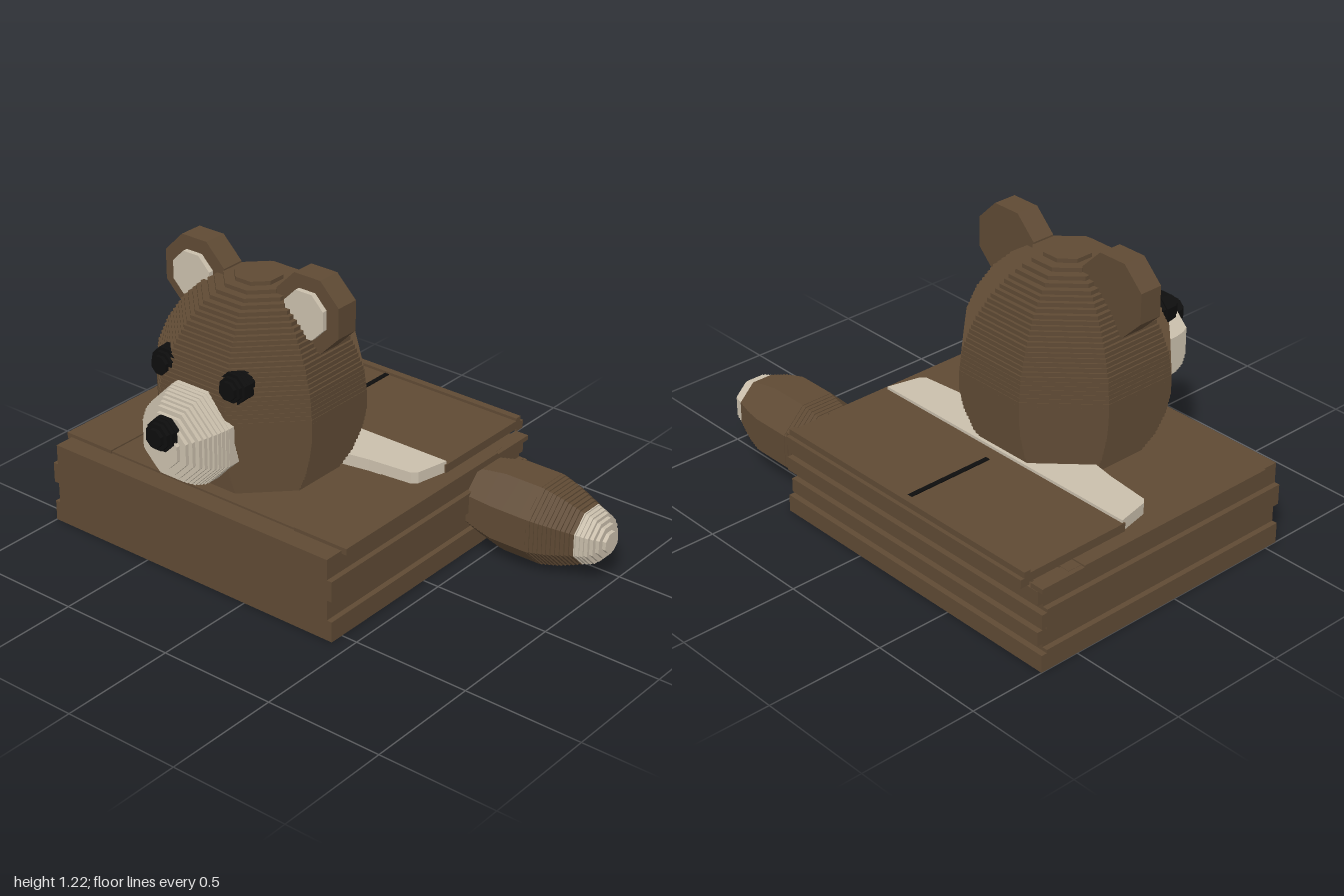
import * as THREE from 'three';

const flat = (name, color) => {
  const m = new THREE.MeshStandardMaterial({ color, flatShading: true });
  m.name = name;
  return m;
};

export function createModel() {
  const root = new THREE.Group();
  const brown = flat('brown', 0x5f4a34);
  const cream = flat('cream', 0xcabfac);
  const black = flat('black', 0x0d0d0d);
  const CX = -0.285; // middle of the body and head

  const add = (name, geo, mat, x = 0, y = 0, z = 0, parent = root) => {
    const m = new THREE.Mesh(geo, mat);
    m.name = name;
    m.position.set(x, y, z);
    parent.add(m);
    return m;
  };

  // box given by its min and max corners
  const slab = (name, mat, x0, x1, y0, y1, z0, z1, parent = root) =>
    add(name, new THREE.BoxGeometry(x1 - x0, y1 - y0, z1 - z0), mat,
      (x0 + x1) / 2, (y0 + y1) / 2, (z0 + z1) / 2, parent);

  // octagonal solid in thin steps along y; profile is [height, half width] pairs
  const stepped = (profile, step = 0.0167) => {
    const widthAt = (h) => {
      let i = 1;
      while (i < profile.length - 1 && profile[i][0] < h) i++;
      const [h0, r0] = profile[i - 1], [h1, r1] = profile[i];
      return THREE.MathUtils.lerp(r0, r1, (h - h0) / (h1 - h0));
    };
    const start = profile[0][0], end = profile[profile.length - 1][0];
    const n = Math.max(1, Math.round((end - start) / step));
    const d = (end - start) / n;
    const pts = [new THREE.Vector2(0, start)];
    for (let i = 0; i < n; i++) {
      const r = widthAt(start + (i + 0.5) * d) / Math.cos(Math.PI / 8);
      pts.push(new THREE.Vector2(r, start + i * d), new THREE.Vector2(r, start + (i + 1) * d));
    }
    pts.push(new THREE.Vector2(0, end));
    return new THREE.LatheGeometry(pts, 8, Math.PI / 8).toNonIndexed();
  };
  const alongZ = (profile, step) => stepped(profile, step).rotateX(Math.PI / 2);
  const alongX = (profile, step) => stepped(profile, step).rotateZ(-Math.PI / 2);

  // body: four courses with inset sides on every second one and grooves at the back
  const body = new THREE.Group();
  body.name = 'body';
  root.add(body);
  const H = 0.0868;
  for (let i = 0; i < 4; i++) {
    const inset = i % 2 ? 0.023 : 0;
    const x0 = -1 + inset, x1 = 0.43 - inset, y = i * H;
    slab('bodyCourse', brown, x0, x1, y, y + H, -0.65, 0.56, body);
    slab('backRib', brown, x0, x1, y + (i ? 0.014 : 0), y + H - 0.014, -0.675, -0.65, body);
  }

  // raised strips along both sides of the top
  slab('rightTopStrip', brown, -1, -0.76, 0.335, 0.362, -0.47, 0.475);
  slab('leftTopStrip', brown, 0.18, 0.43, 0.335, 0.362, -0.47, 0.475);
  slab('topPlate', brown, -0.98, 0.41, 0.345, 0.356, -0.53, 0.47);
  for (const [x0, x1] of [[-1, -0.94], [0.37, 0.43]])
    slab('backCorner', brown, x0, x1, 0.335, 0.355, -0.675, -0.47);

  // cover over the back with its raised hem and dark seam
  slab('backCover', brown, CX - 0.655, CX + 0.655, 0.362, 0.398, -0.69, -0.21);
  slab('coverHem', brown, CX - 0.655, CX + 0.655, 0.375, 0.41, -0.705, -0.675);
  slab('coverEdge', brown, CX - 0.655, CX + 0.655, 0.35, 0.385, -0.722, -0.68);
  slab('backSeam', black, CX - 0.01, CX + 0.01, 0.396, 0.402, -0.675, -0.28);

  // cream collar behind the head
  const half = [[0.65, 0.22], [0.62, 0.08], [0.6, 0.06], [0.41, 0.04], [0.3, 0.02]];
  const outline = [...half, ...half.map(([x, z]) => [-x, z]).reverse()];
  const collar = new THREE.Shape(outline.map(([x, z]) => new THREE.Vector2(x, z)));
  add('collar', new THREE.ExtrudeGeometry(collar, { depth: 0.05, bevelEnabled: false })
    .rotateX(-Math.PI / 2), cream, CX, 0.36, 0);

  // head
  const head = [[0.34, 0.28], [0.37, 0.3], [0.45, 0.345], [0.55, 0.38], [0.63, 0.395],
    [0.7, 0.395], [0.8, 0.383], [0.9, 0.345], [1.0, 0.283], [1.07, 0.215], [1.11, 0.155], [1.145, 0.07]];
  add('head', stepped(head), brown, CX, 0, 0.12);

  // muzzle and nose
  add('muzzle', alongZ([[0.42, 0.19], [0.52, 0.19], [0.57, 0.175], [0.62, 0.145], [0.655, 0.105], [0.68, 0.06]]),
    cream, CX, 0.62, 0);
  add('nose', alongZ([[0.62, 0.05], [0.655, 0.066], [0.69, 0.06], [0.725, 0.028]]), black, CX, 0.68, 0);

  // ears and eyes on both sides
  for (const [side, s] of [['left', 1], ['right', -1]]) {
    add(side + 'Ear', alongZ([[0.07, 0.15], [0.17, 0.15]], 0.1), brown, CX + s * 0.28, 1.073, 0);
    add(side + 'InnerEar', alongZ([[0.165, 0.093], [0.192, 0.093]], 0.03), cream, CX + s * 0.28, 1.073, 0);
    add(side + 'Eye', alongZ([[0.39, 0.045], [0.43, 0.062], [0.465, 0.06], [0.505, 0.03]]),
      black, CX + s * 0.17, 0.843, 0);
  }

  // tail pointing to the left with a cream tip
  add('tail', alongX([[0.38, 0.125], [0.43, 0.145], [0.49, 0.158], [0.55, 0.17], [0.72, 0.17],
    [0.8, 0.15], [0.86, 0.128], [0.9, 0.112]]), brown, 0, 0.187, -0.43);
  add('tailTip', alongX([[0.89, 0.115], [0.94, 0.1], [0.97, 0.075], [1.0, 0.03]]), cream, 0, 0.187, -0.43);

  return root;
}
